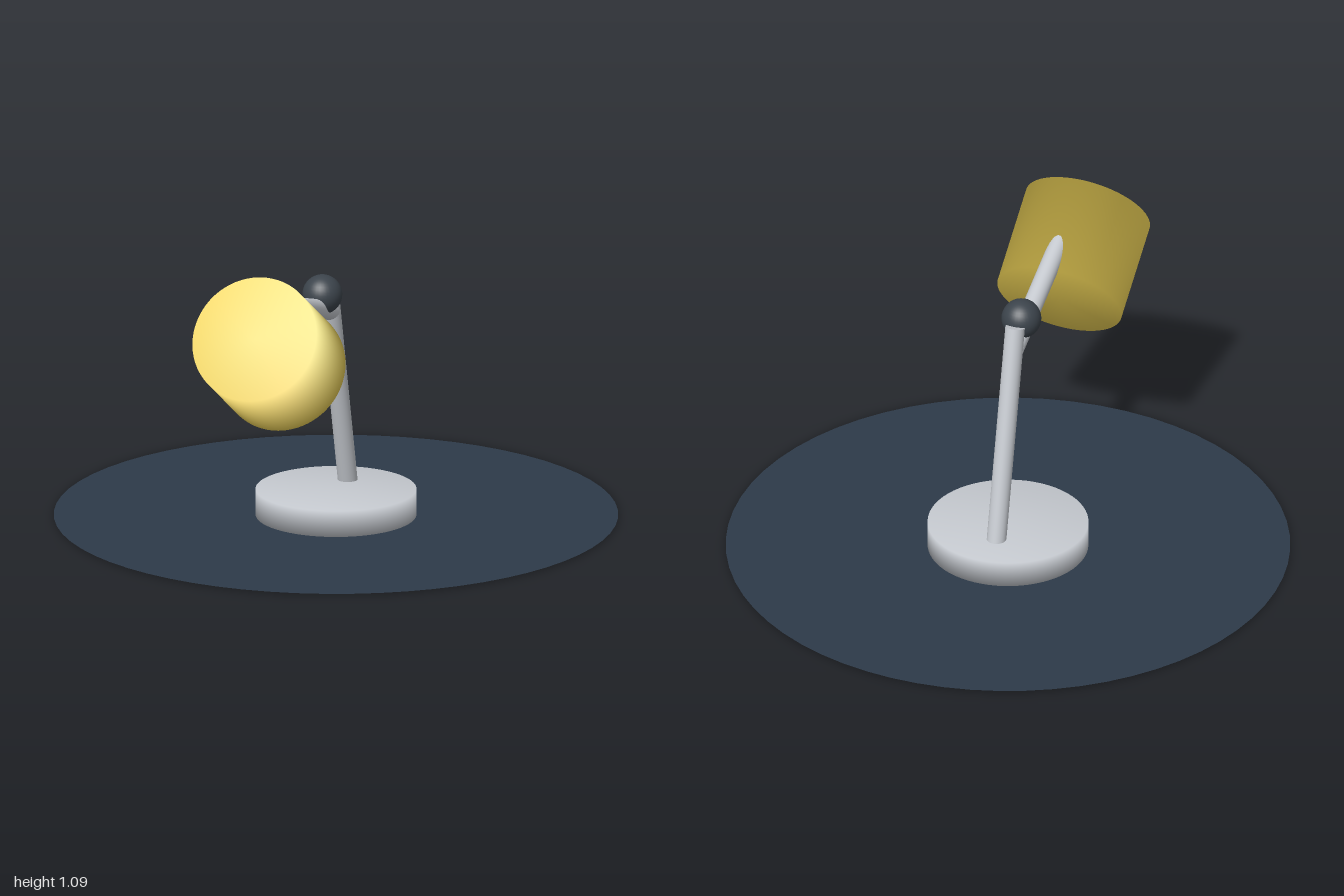
import * as THREE from 'three';

const mat = (color, side = THREE.FrontSide) =>
  new THREE.MeshStandardMaterial({ color, side });

// Capped cylinder between two points; soft > 0 lets the shading flow over the rims
function rod(name, a, b, radius, material, segments, soft = 0) {
  const from = new THREE.Vector3(...a);
  const to = new THREE.Vector3(...b);
  const axis = to.clone().sub(from);
  const geometry = new THREE.CylinderGeometry(radius, radius, axis.length(), segments);
  if (soft) {
    const p = geometry.attributes.position;
    const n = new THREE.Vector3();
    for (let i = 0; i < p.count; i++) {
      n.set(p.getX(i) / radius * soft, Math.sign(p.getY(i)), p.getZ(i) / radius * soft).normalize();
      geometry.attributes.normal.setXYZ(i, n.x, n.y, n.z);
    }
  }
  const mesh = new THREE.Mesh(geometry, material);
  mesh.name = name;
  mesh.position.copy(from).add(to).multiplyScalar(0.5);
  mesh.quaternion.setFromUnitVectors(new THREE.Vector3(0, 1, 0), axis.normalize());
  return mesh;
}

export function createModel() {
  const lamp = new THREE.Group();
  lamp.name = 'deskLamp';

  const metal = mat(0xc6cad0);
  const yellow = mat(0xecd055);
  const dark = mat(0x3c444c);

  // Thin round table surface
  const table = new THREE.Mesh(new THREE.CircleGeometry(1, 64), mat(0x2d3a49, THREE.DoubleSide));
  table.name = 'tableTop';
  table.rotation.x = -Math.PI / 2;
  table.position.y = 0.005;
  lamp.add(table);

  // Weighted foot
  lamp.add(rod('base', [0, 0, 0], [0, 0.1, 0], 0.285, metal, 64, 0.2));

  // Two arms leaning towards each other at the elbow
  lamp.add(rod('lowerArm', [0, 0.08, -0.13], [0, 0.861, 0.078], 0.035, metal, 32));
  lamp.add(rod('upperArm', [0, 0.775, 0.06], [0, 0.945, 0.61], 0.035, metal, 32));

  // Elbow joint
  const joint = new THREE.Mesh(new THREE.SphereGeometry(0.071, 32, 20), dark);
  joint.name = 'elbowJoint';
  joint.position.set(0, 0.858, 0.146);
  lamp.add(joint);

  // Drum-shaped lamp head, tilted up and forward
  lamp.add(rod('lampHead', [0, 0.698, 0.562], [0, 0.893, 0.873], 0.229, yellow, 64, 0.2));

  return lamp;
}
